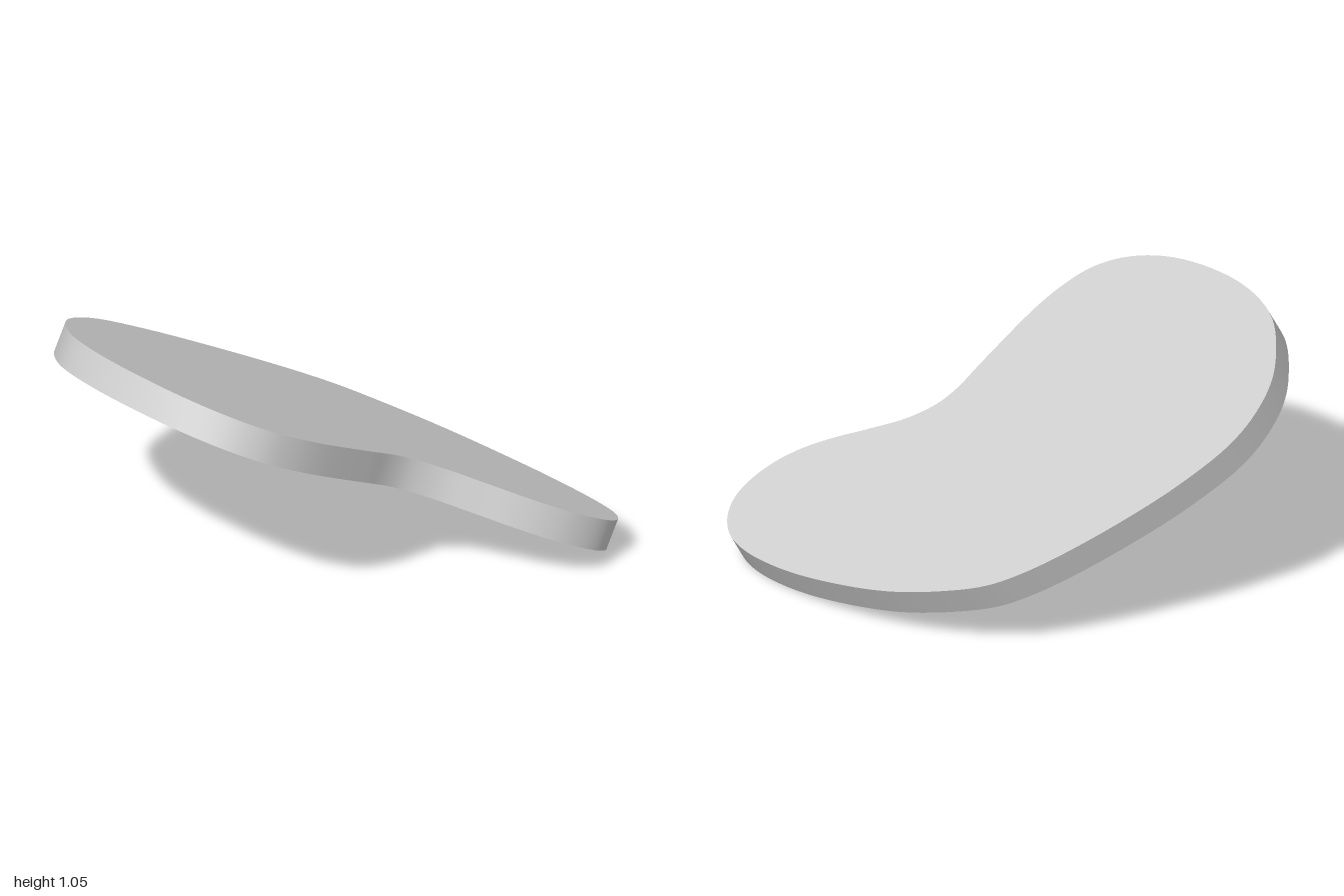
import * as THREE from 'three';
import { toCreasedNormals } from 'three/addons/utils/BufferGeometryUtils.js';

// Kidney outline of the top face, seen from above as [x, z]
const OUTLINE = [
  [-0.95, -0.13], [-0.92, -0.29], [-0.865, -0.42], [-0.77, -0.525], [-0.65, -0.595],
  [-0.45, -0.635], [-0.24, -0.643], [0, -0.628], [0.16, -0.6], [0.28, -0.557],
  [0.42, -0.46], [0.6, -0.295], [0.8, -0.04], [0.91, 0.14], [0.98, 0.3],
  [1.0, 0.41], [0.98, 0.5], [0.935, 0.56], [0.87, 0.595], [0.77, 0.61],
  [0.67, 0.597], [0.565, 0.56], [0.43, 0.495], [0.3, 0.438], [0.19, 0.42],
  [0.11, 0.435], [0, 0.485], [-0.24, 0.585], [-0.36, 0.612], [-0.46, 0.612],
  [-0.57, 0.57], [-0.7, 0.46], [-0.83, 0.27], [-0.92, 0.06],
];

export function createModel() {
  const model = new THREE.Group();

  // Smooth closed outline, extruded by one unit
  const curve = new THREE.CatmullRomCurve3(
    OUTLINE.map(([x, z]) => new THREE.Vector3(x, -z, 0)), true);
  const shape = new THREE.Shape(
    curve.getPoints(170).slice(0, -1).map(p => new THREE.Vector2(p.x, p.y)));
  const flat = new THREE.ExtrudeGeometry(shape, { depth: 1, bevelEnabled: false });

  // Lay the slab on its sloping plane y = 0.558 - 0.52x + 0.21z, thickness along the normal
  const thickness = new THREE.Vector3(0.52, 1, -0.21).setLength(0.123);
  const tilt = new THREE.Matrix4().makeBasis(
    new THREE.Vector3(1, -0.52, 0), new THREE.Vector3(0, -0.21, -1), thickness);
  tilt.setPosition(-thickness.x, 0.558 - thickness.y, -thickness.z);
  flat.applyMatrix4(tilt);

  const slab = new THREE.Mesh(
    toCreasedNormals(flat, 0.6), new THREE.MeshStandardMaterial({ color: 0xcccccc }));
  slab.name = 'kidneySlab';
  model.add(slab);
  return model;
}
